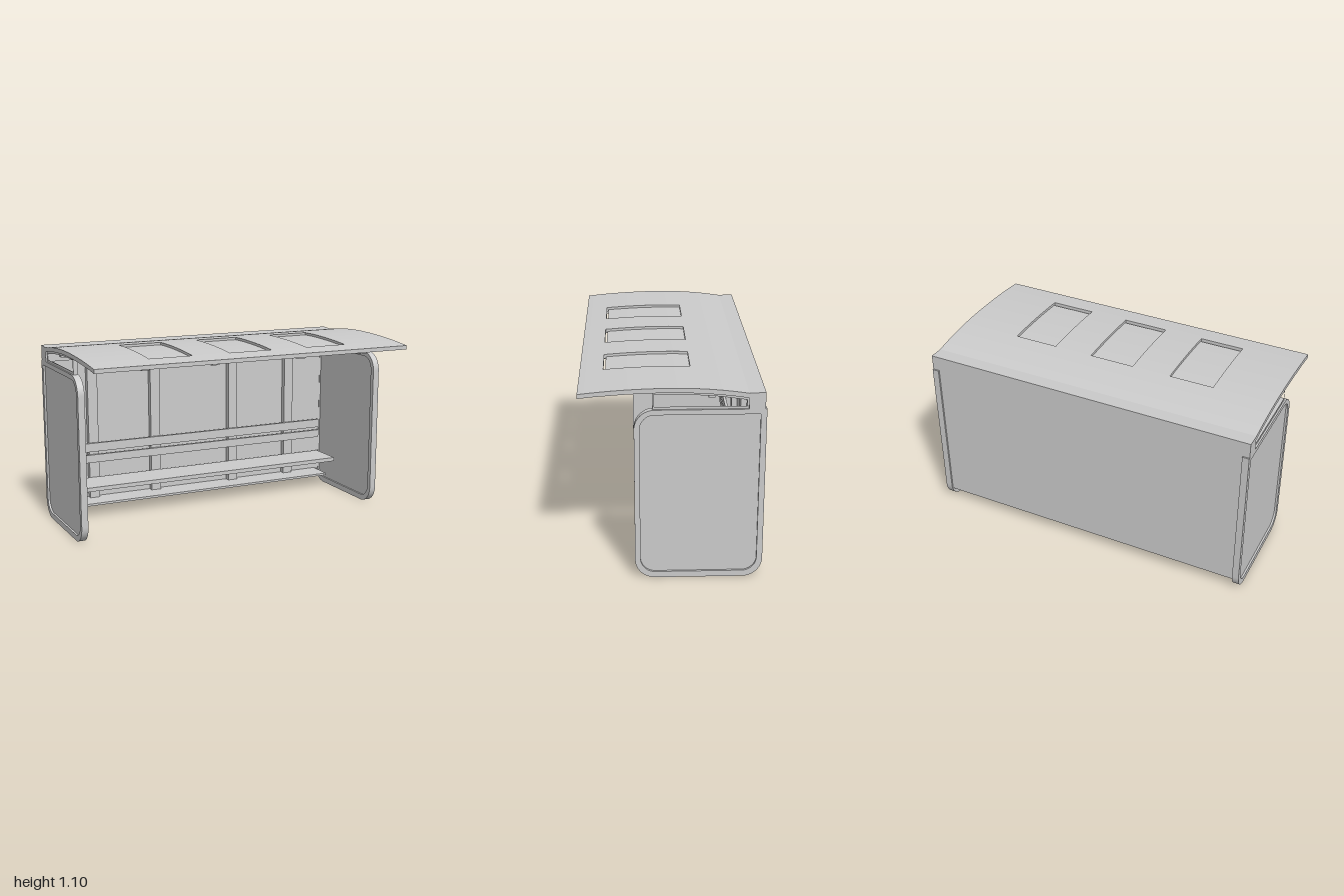
import * as THREE from 'three';
import { toCreasedNormals } from 'three/addons/utils/BufferGeometryUtils.js';

const material = new THREE.MeshStandardMaterial({ color: 0xcccccc });

export function createModel() {
  const group = new THREE.Group();

  const add = (name, geometry) => {
    const mesh = new THREE.Mesh(geometry, material);
    mesh.name = name;
    group.add(mesh);
    return mesh;
  };

  // Box given by its limits on each axis
  const box = (name, x0, x1, y0, y1, z0, z1) => {
    const mesh = add(name, new THREE.BoxGeometry(x1 - x0, y1 - y0, z1 - z0));
    mesh.position.set((x0 + x1) / 2, (y0 + y1) / 2, (z0 + z1) / 2);
    return mesh;
  };

  // Side profile (drawn as -z, y) swept along x
  const sweep = (name, shape, x0, x1) => {
    const g = new THREE.ExtrudeGeometry(shape, { depth: x1 - x0, bevelEnabled: false, curveSegments: 8 });
    g.rotateY(Math.PI / 2).translate(x0, 0, 0);
    return add(name, toCreasedNormals(g, 0.5));
  };
  const profile = (points) => new THREE.Shape(points.map(([z, y]) => new THREE.Vector2(-z, y)));

  // Side outline: three round corners and a square upper back corner
  const sideShape = (zBack, zFront, y0, y1, r, Type = THREE.Shape) => {
    const s = new Type();
    const a = -zFront, b = -zBack;
    s.moveTo(a + r, y0);
    s.lineTo(b - r, y0);
    s.absarc(b - r, y0 + r, r, -Math.PI / 2, 0, false);
    s.lineTo(b, y1);
    s.lineTo(a + r, y1);
    s.absarc(a + r, y1 - r, r, Math.PI / 2, Math.PI, false);
    s.lineTo(a, y0 + r);
    s.absarc(a + r, y0 + r, r, Math.PI, Math.PI * 1.5, false);
    return s;
  };

  // Side walls: frame ring with a panel recessed on both faces
  const ring = sideShape(-0.495, 0.203, 0, 0.985, 0.11);
  ring.holes.push(sideShape(-0.463, 0.173, 0.035, 0.957, 0.08, THREE.Path));
  const pane = sideShape(-0.463, 0.173, 0.035, 0.957, 0.08);

  // Roof curve: height of the top surface at z
  const top = (z) => 1.105 - (z > 0 ? 0.117 : 0.2) * z * z;
  const slab = (zBack, zFront, drop, thickness) => {
    const upper = [], lower = [];
    const n = 16;
    for (let i = 0; i <= n; i++) {
      const z = zBack + ((zFront - zBack) * i) / n;
      upper.push([z, top(z) - drop]);
      lower.unshift([z, top(z) - drop - thickness]);
    }
    return profile([...upper, ...lower]);
  };

  // Slotted bracket between each side wall and the roof
  const bracketOuter = [[0.105, 0.98], [0.105, 1.082], [-0.1, 1.08], [-0.25, 1.069], [-0.4, 1.05], [-0.4, 0.98]];
  const bracketInner = [[0.097, 1], [0.097, 1.07], [-0.1, 1.065], [-0.25, 1.054], [-0.39, 1.034], [-0.39, 1]];
  const bracket = profile(bracketOuter);
  bracket.holes.push(new THREE.Path(bracketInner.map(([z, y]) => new THREE.Vector2(-z, y))));

  for (const side of [-1, 1]) {
    const span = (a, b) => (side > 0 ? [a, b] : [-b, -a]);
    sweep('sideFrame', ring, ...span(0.96, 1));
    sweep('sidePanel', pane, ...span(0.97, 0.988));
    sweep('roofBracket', bracket, ...span(0.965, 0.99));
    const brace = box('roofBrace', ...span(0.7, 0.97), 1.034, 1.05, -0.225, -0.19);
    brace.rotation.z = side * 0.05;
  }

  // Roof: full-width front and back strips, ribs between the skylights
  sweep('roofFront', slab(0.365, 0.495, 0, 0.024), -1, 1);
  sweep('roofBack', slab(-0.4, -0.11, 0, 0.026), -1, 1);
  const edges = [-1, -0.635, -0.37, -0.135, 0.135, 0.37, 0.635, 1];
  for (let i = 0; i < 7; i++) {
    if (i % 2) sweep('skylight', slab(-0.11, 0.355, 0.015, 0.01), edges[i], edges[i + 1]);
    else sweep('roofRib', slab(-0.11, 0.365, 0, 0.025), edges[i], edges[i + 1]);
  }

  // Rear roof edge, with a fascia running down to the back wall
  sweep('rearFascia', profile([
    [-0.4, top(-0.4)], [-0.487, 1.077], [-0.487, 0.985], [-0.4, 0.985],
  ]), -1, 1);

  // Back wall
  box('backWall', -0.96, 0.96, 0.08, 0.99, -0.485, -0.465);

  // Posts with tapered roof beams
  const beam = profile([
    [0.483, 1.045], [0.483, 1.06], [0.25, 1.08], [0, 1.088],
    [-0.2, 1.08], [-0.4, 1.055], [-0.46, 1.05], [-0.46, 0.99], [-0.23, 1],
  ]);
  for (const x of [-0.7, -0.28, 0.275, 0.697]) {
    box('post', x - 0.032, x + 0.032, 0.08, 0.99, -0.465, -0.43);
    sweep('roofBeam', beam, x - 0.022, x + 0.022);
  }

  // Bench: seat, two back rails and a low ledge
  box('seat', -0.93, 0.93, 0.195, 0.22, -0.43, -0.2);
  box('backRail', -0.93, 0.93, 0.32, 0.37, -0.43, -0.412);
  box('backRail', -0.93, 0.93, 0.39, 0.445, -0.43, -0.412);
  box('lowerLedge', -0.93, 0.93, 0.072, 0.086, -0.465, -0.3);

  return group;
}
